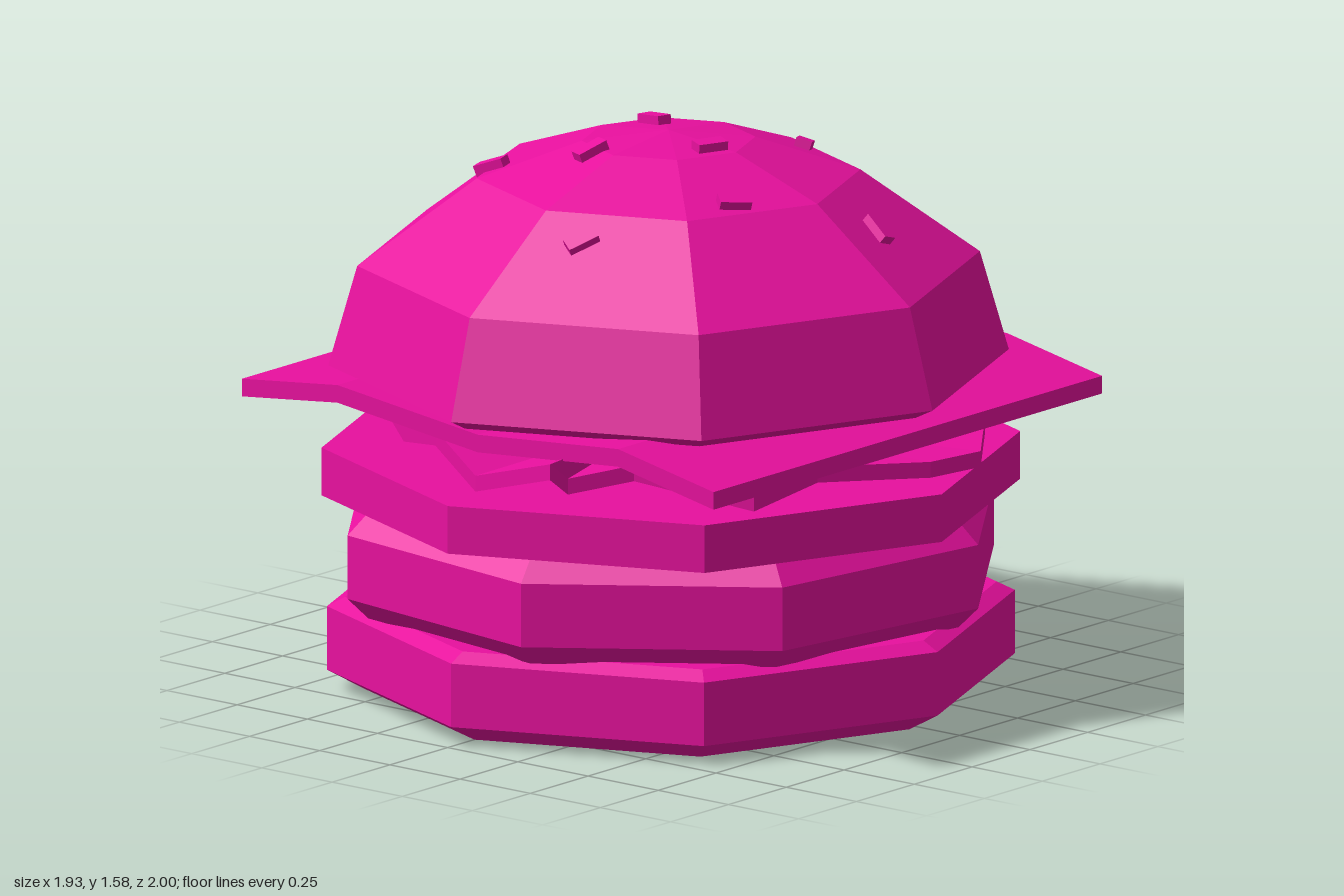
import * as THREE from 'three';

const material = new THREE.MeshStandardMaterial({ color: 0xe8109e, flatShading: true });
const CENTER_Z = 0.035;

function addMesh(parent, name, geometry) {
  const mesh = new THREE.Mesh(geometry, material);
  mesh.name = name;
  parent.add(mesh);
  return mesh;
}

// Eight-sided layer from a [radius, height] profile, bottom to top
function addLayer(parent, name, profile, turn = 0) {
  const points = profile.map(([r, y]) => new THREE.Vector2(r, y));
  const mesh = addMesh(parent, name, new THREE.LatheGeometry(points, 8, THREE.MathUtils.degToRad(turn)));
  mesh.position.z = CENTER_Z;
  return mesh;
}

// Crumpled leaf: a star-shaped outline fanned to the centre, with thickness
function leafGeometry(outline, center, thickness) {
  const n = outline.length;
  const h = thickness / 2;
  const positions = [];
  const index = [];
  for (const side of [h, -h]) {
    for (const [x, y, z] of outline) positions.push(x, y + side, z);
    positions.push(center[0], center[1] + side, center[2]);
  }
  const low = n + 1;
  for (let i = 0; i < n; i++) {
    const j = (i + 1) % n;
    index.push(n, i, j, low + n, low + j, low + i);
    index.push(i, low + i, low + j, i, low + j, j);
  }
  const geometry = new THREE.BufferGeometry();
  geometry.setAttribute('position', new THREE.Float32BufferAttribute(positions, 3));
  geometry.setIndex(index);
  geometry.computeVertexNormals();
  return geometry;
}

// Height and normal of the faceted dome at a point seen from above
function domeSurface(profile, x, z) {
  const facet = (Math.floor(Math.atan2(x, z) / (Math.PI / 4)) + 0.5) * (Math.PI / 4);
  const apothem = Math.cos(Math.PI / 8);
  const r = (x * Math.sin(facet) + z * Math.cos(facet)) / apothem;
  let k = profile.length - 1;
  while (k > 1 && profile[k - 1][0] < r) k--;
  const [r0, y0] = profile[k - 1];
  const [r1, y1] = profile[k];
  const slope = (y1 - y0) / (r0 - r1);
  const normal = new THREE.Vector3(
    Math.sin(facet) * slope / apothem, 1, Math.cos(facet) * slope / apothem).normalize();
  return { y: y0 + (r0 - r) * slope, normal };
}

export function createModel() {
  const burger = new THREE.Group();
  burger.name = 'burger';

  addLayer(burger, 'bottomBun', [[0, 0], [0.85, 0], [0.95, 0.055], [0.95, 0.235], [0.9, 0.26], [0, 0.26]]);
  addLayer(burger, 'patty', [[0, 0.25], [0.88, 0.25], [0.94, 0.31], [0.94, 0.49], [0.88, 0.55], [0, 0.55]], 13.5);
  addLayer(burger, 'tomatoSlice', [[0, 0.55], [0.965, 0.55], [0.965, 0.685], [0, 0.685]]);

  // Lettuce outline, counter-clockwise from the front: x, y, z
  const lettuce = [
    [0.34, 0.83, 0.97], [0.28, 0.75, 0.82], [0.4, 0.78, 0.68], [0.72, 0.72, 0.55], [0.7, 0.74, 0.25],
    [0.88, 0.73, -0.02], [0.91, 0.73, -0.2], [0.72, 0.75, -0.45], [0.36, 0.77, -0.8],
    [0.09, 0.785, -0.97], [-0.05, 0.74, -0.8], [-0.19, 0.71, -0.88], [-0.3, 0.68, -0.83],
    [-0.36, 0.595, -1.0], [-0.62, 0.7, -0.81], [-0.97, 0.71, -0.51], [-0.86, 0.73, -0.24],
    [-0.78, 0.76, 0.0], [-0.92, 0.715, 0.19], [-0.87, 0.73, 0.34], [-0.55, 0.81, 0.6],
    [-0.42, 0.76, 0.68], [-0.25, 0.79, 0.75], [0, 0.725, 0.88],
  ];
  addMesh(burger, 'lettuce', leafGeometry(lettuce, [0, 0.73, 0.03], 0.045));

  // Cheese: a wavy strip extruded from back to front
  const wave = [[-0.84, 0.835], [-0.5, 0.872], [0, 0.812], [0.5, 0.852], [0.84, 0.785]];
  const outline = [...wave, ...wave.map(([x, y]) => [x, y + 0.05]).reverse()];
  const cheeseShape = new THREE.Shape(outline.map(([x, y]) => new THREE.Vector2(x, y)));
  const cheese = addMesh(burger, 'cheeseSlice',
    new THREE.ExtrudeGeometry(cheeseShape, { depth: 1.68, bevelEnabled: false }));
  cheese.position.z = -0.81;

  const dome = [[0.94, 0.92], [0.86, 1.2], [0.53, 1.44], [0.24, 1.54], [0, 1.565]];
  addLayer(burger, 'topBun', [[0, 0.89], [0.88, 0.89], ...dome]).position.z = 0.045;

  // Sesame seeds: x, z and the direction of the long side
  const seeds = [
    [-0.13, -0.55, 0.3, -1], [0.17, -0.33, 0.5, 0.85], [0.6, -0.125, 1, 0], [-0.5, -0.24, 0.25, 1],
    [-0.12, -0.04, 1, 0.2], [0.175, 0.08, 0.4, -1], [-0.08, 0.28, 0.4, -1], [-0.39, 0.33, 1, -0.25],
    [0.4, 0.25, 0.6, -0.8], [0.15, 0.6, 0.4, -1],
  ];
  const seedGroup = new THREE.Group();
  seedGroup.name = 'sesameSeeds';
  burger.add(seedGroup);
  for (const [x, z, dx, dz] of seeds) {
    const { y, normal } = domeSurface(dome, x, z - 0.045);
    const long = new THREE.Vector3(dx, 0, dz).projectOnPlane(normal).normalize();
    const across = new THREE.Vector3().crossVectors(long, normal);
    const seed = addMesh(seedGroup, 'sesameSeed', new THREE.BoxGeometry(0.09, 0.04, 0.045));
    seed.quaternion.setFromRotationMatrix(new THREE.Matrix4().makeBasis(long, normal, across));
    seed.position.set(x, y, z).addScaledVector(normal, 0.005);
  }

  return burger;
}
